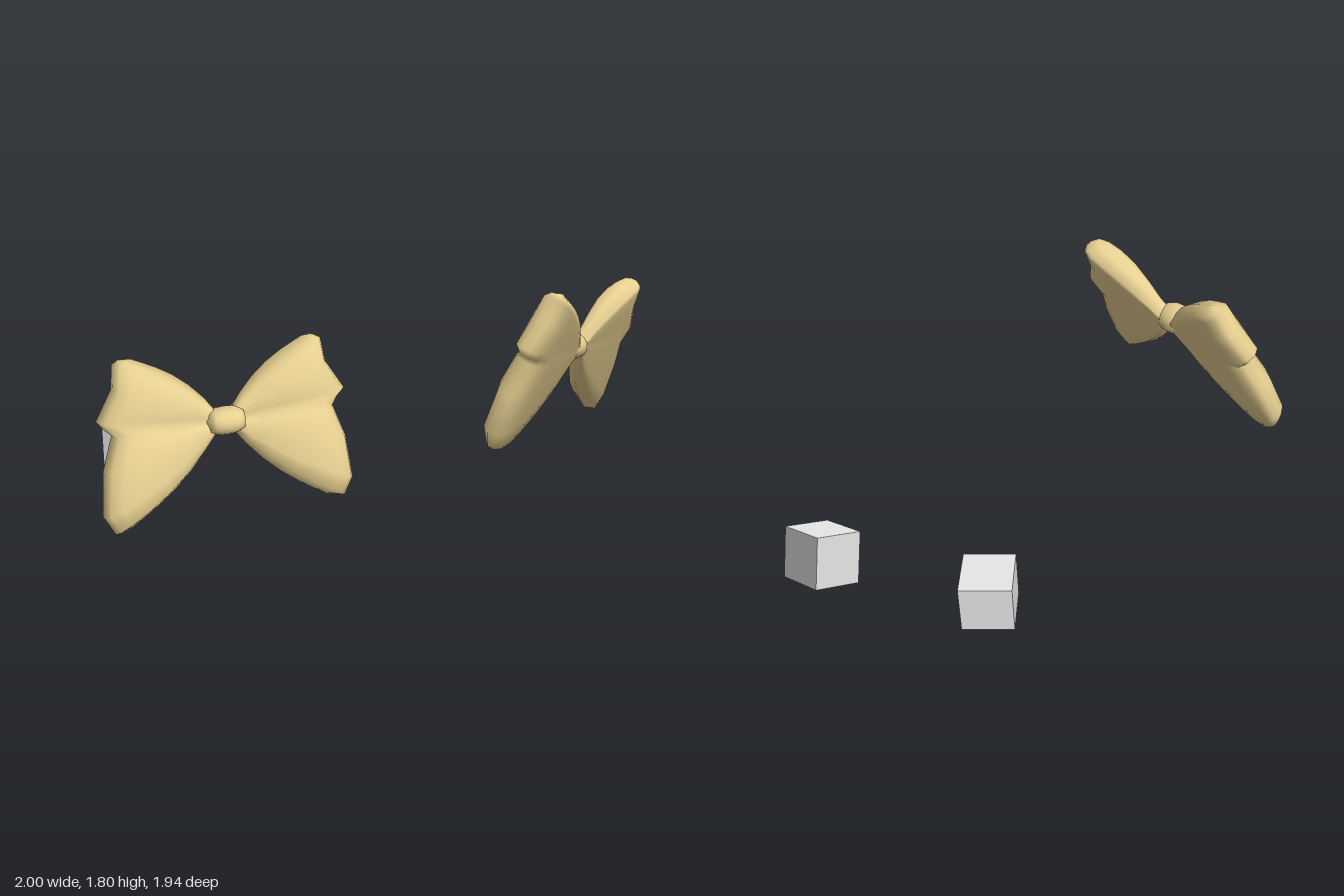
import * as THREE from 'three';

const bowMat = new THREE.MeshStandardMaterial({ color: 0xe8d192 });
bowMat.name = 'pale gold';
const cubeMat = new THREE.MeshStandardMaterial({ color: 0xe7e7e7 });
cubeMat.name = 'light grey';

// outer end of each ray fanning out from the knot: [u, v, front puff, back puff]
const RAYS = [
  [0.51, 0.42, 0, 0.0], [0.575, 0.422, 0.62, 0.9], [0.615, 0.4, 0.88, 1],
  [0.635, 0.26, 1.02, 1], [0.74, 0.09, 0.95, 1], [0.7, 0.04, 0.68, 1],
  [0.66, 0, 1, 1], [0.73, -0.2, 1.1, 1], [0.76, -0.46, 1, 1],
  [0.705, -0.565, 0.72, 0.9], [0.605, -0.55, 0, 0],
];
// sections from knot to rim: [fraction, front depth, back depth]
const SECTIONS = [
  [0, 0.055, 0.05], [0.12, 0.06, 0.055], [0.3, 0.09, 0.067], [0.5, 0.115, 0.075],
  [0.7, 0.122, 0.08], [0.86, 0.11, 0.08], [0.96, 0.08, 0.06], [1, 0.03, 0.025],
];

// one puffed wing of the bow, with a crease pinched across its front
function wing(side) {
  const n = RAYS.length, loop = 2 * n - 2;
  const pos = [], index = [];
  for (const [r, front, back] of SECTIONS) {
    for (let j = 0; j < loop; j++) {
      const onFront = j < n;
      const i = onFront ? j : loop - j;
      const [u, v, pf, pb] = RAYS[i];
      const lean = 1 - (2 * i) / (n - 1);
      const x = THREE.MathUtils.lerp(0.05, u, r);
      const y = THREE.MathUtils.lerp(0.065 * lean, v, r) + 0.06 * lean * Math.sin(Math.PI * r ** 0.8);
      pos.push(side * x, y, onFront ? front * pf : -back * pb);
    }
  }
  const tri = (a, b, c) => (side > 0 ? index.push(a, b, c) : index.push(a, c, b));
  for (let s = 0; s < SECTIONS.length - 1; s++) {
    for (let j = 0; j < loop; j++) {
      const k = (j + 1) % loop;
      const a = s * loop + j, b = s * loop + k, c = a + loop, d = b + loop;
      tri(a, b, c);
      tri(b, d, c);
    }
  }
  // close the thin outer rim
  const end = (SECTIONS.length - 1) * loop;
  for (let i = 0; i < n - 1; i++) {
    const a = end + i, b = a + 1;
    const c = end + ((loop - i) % loop), d = end + loop - i - 1;
    if (i > 0) tri(a, b, c);
    if (i < n - 2) tri(b, d, c);
  }
  const geo = new THREE.BufferGeometry();
  geo.setAttribute('position', new THREE.Float32BufferAttribute(pos, 3));
  geo.setIndex(index);
  geo.computeVertexNormals();
  return new THREE.Mesh(geo, bowMat);
}

export function createModel() {
  const model = new THREE.Group();
  model.name = 'bowAndCube';

  const bow = new THREE.Group();
  bow.name = 'bow';
  for (const side of [1, -1]) {
    const mesh = wing(side);
    mesh.name = side > 0 ? 'leftWing' : 'rightWing';
    bow.add(mesh);
  }

  // barrel-shaped knot lying across the middle, tapering into the wings
  const profile = [[0, -0.12], [0.06, -0.1], [0.07, -0.075], [0.08, -0.045], [0.083, 0],
    [0.08, 0.045], [0.07, 0.075], [0.06, 0.1], [0, 0.12]]
    .map(([r, h]) => new THREE.Vector2(r, h));
  const knotGeo = new THREE.LatheGeometry(profile, 20);
  knotGeo.rotateZ(Math.PI / 2);
  knotGeo.scale(1, 1, 1.2);
  const knot = new THREE.Mesh(knotGeo, bowMat);
  knot.name = 'knot';
  knot.position.z = 0.03;
  bow.add(knot);

  // turn the bow to face front and left, tipped upward
  const across = new THREE.Vector3(0.775, -0.035, -0.63).normalize();
  const facing = new THREE.Vector3().crossVectors(across, new THREE.Vector3(-0.23, 0.91, -0.34)).normalize();
  const up = new THREE.Vector3().crossVectors(facing, across);
  bow.quaternion.setFromRotationMatrix(new THREE.Matrix4().makeBasis(across, up, facing));
  bow.position.set(0.282, 1.382, 0.298);
  model.add(bow);

  // small plain cube on the ground
  const cube = new THREE.Mesh(new THREE.BoxGeometry(0.32, 0.32, 0.32), cubeMat);
  cube.name = 'cube';
  cube.position.set(-0.84, 0.16, -0.815);
  model.add(cube);
  return model;
}
